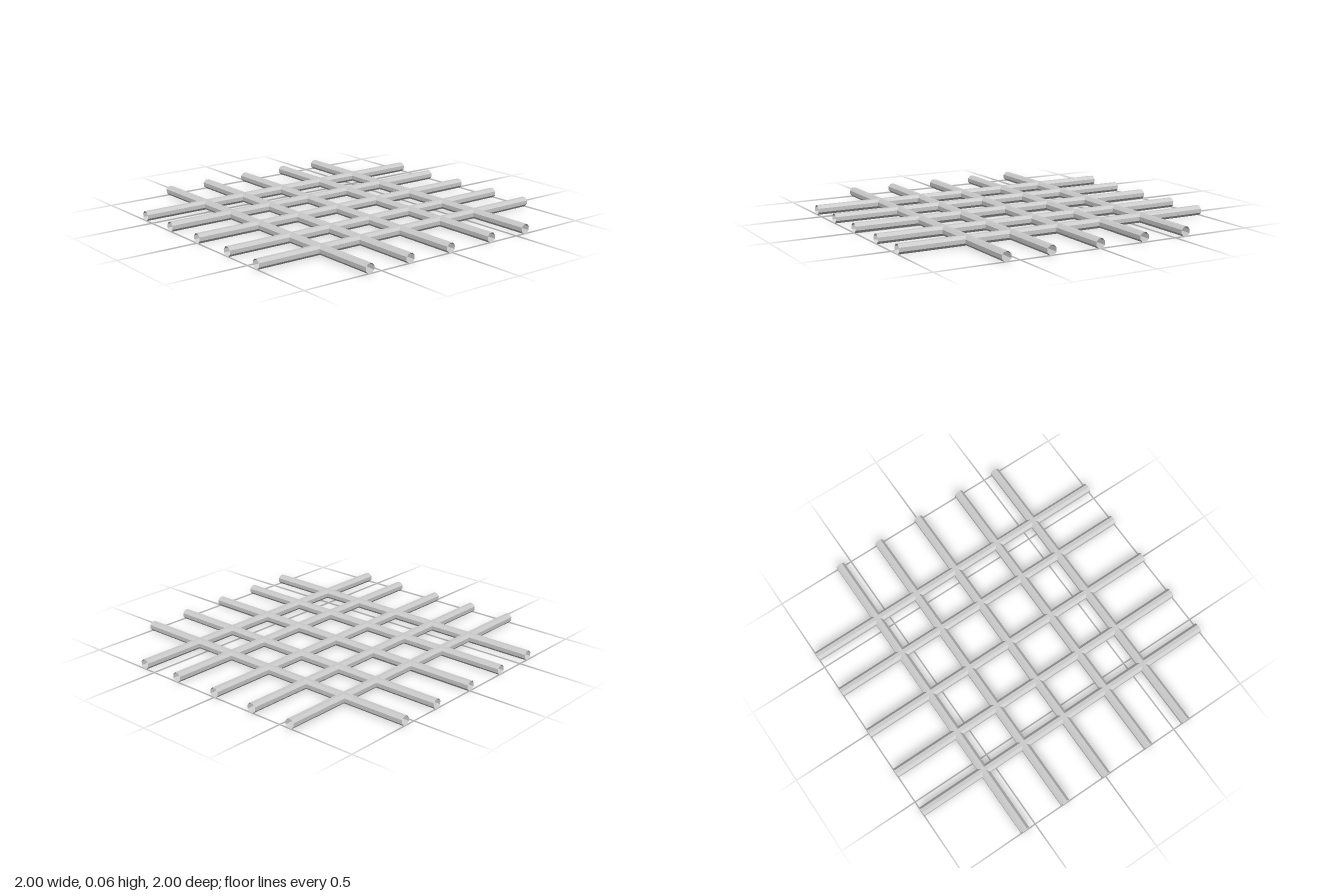
import * as THREE from 'three';

const LENGTH = 2;
const APOTHEM = 0.028; // half the width across the flats
const HEIGHT = 0.032;  // height of the bar axes

export function createModel() {
  const group = new THREE.Group();
  group.name = 'barGrid';
  const material = new THREE.MeshStandardMaterial({
    color: 0xcccccc, flatShading: true, side: THREE.DoubleSide,
  });

  // Open octagonal tube lying along z, with a flat facet on top
  const radius = APOTHEM / Math.cos(Math.PI / 8);
  const tube = new THREE.CylinderGeometry(radius, radius, LENGTH, 8, 1, true);
  tube.rotateY(Math.PI / 8);
  tube.rotateX(Math.PI / 2);

  // Bars running front to back
  [-0.572, -0.29, 0, 0.306, 0.58].forEach((x, i) => {
    const bar = new THREE.Mesh(tube, material);
    bar.name = `lengthwiseBar${i + 1}`;
    bar.position.set(x, HEIGHT, 0);
    group.add(bar);
  });

  // Bars running side to side
  [-0.572, -0.3, 0.008, 0.3, 0.577].forEach((z, i) => {
    const bar = new THREE.Mesh(tube, material);
    bar.name = `crosswiseBar${i + 1}`;
    bar.rotation.y = Math.PI / 2;
    bar.position.set(0, HEIGHT, z);
    group.add(bar);
  });

  return group;
}
